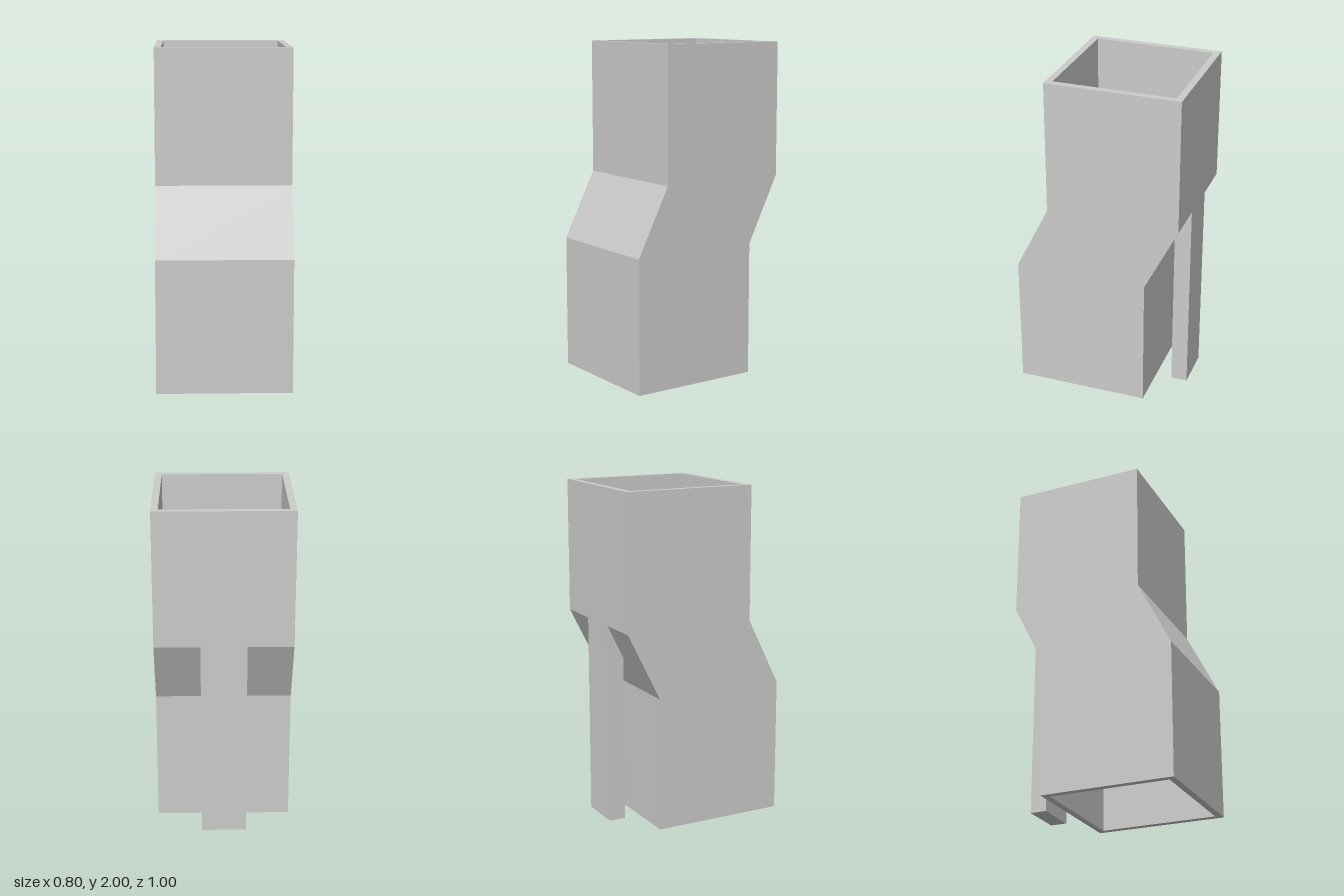
import * as THREE from 'three';

const WALL = 0.04;
// centreline of the offset duct: [y, z]
const PATH = [[0, 0.1], [0.8, 0.1], [1.2, -0.1], [2, -0.1]];

// Rectangular cross-section, counter-clockwise seen from above
function ring([y, z], half) {
  return [[-half, y, z + half], [half, y, z + half], [half, y, z - half], [-half, y, z - half]];
}

// Hollow square duct: up the outside, over the rim, down the inside, closed under the bottom rim
function ductGeometry() {
  const rings = [
    ...PATH.map((p) => ring(p, 0.4)),
    ...[...PATH].reverse().map((p) => ring(p, 0.4 - WALL)),
  ];
  const positions = [];
  rings.forEach((lower, i) => {
    const upper = rings[(i + 1) % rings.length];
    for (let j = 0; j < 4; j++) {
      const k = (j + 1) % 4;
      positions.push(...lower[j], ...lower[k], ...upper[k], ...lower[j], ...upper[k], ...upper[j]);
    }
  });
  const geometry = new THREE.BufferGeometry();
  geometry.setAttribute('position', new THREE.Float32BufferAttribute(positions, 3));
  geometry.computeVertexNormals();
  return geometry;
}

// Rear leg: side profile (-z, y) with a sloped top that meets the duct's bend
function legGeometry() {
  const width = 0.8 / 3;
  const profile = new THREE.Shape(
    [[0.4, 0], [0.5, 0], [0.5, 1.2], [0.4, 1]].map(([x, y]) => new THREE.Vector2(x, y))
  );
  return new THREE.ExtrudeGeometry(profile, { depth: width, bevelEnabled: false })
    .rotateY(Math.PI / 2)
    .translate(-width / 2, 0, 0);
}

export function createModel() {
  const group = new THREE.Group();
  group.name = 'offsetDuct';
  const material = new THREE.MeshStandardMaterial({ color: 0xcccccc, flatShading: true });
  const add = (name, geometry) => {
    const mesh = new THREE.Mesh(geometry, material);
    mesh.name = name;
    group.add(mesh);
  };
  add('duct', ductGeometry());
  add('rearLeg', legGeometry());
  return group;
}
